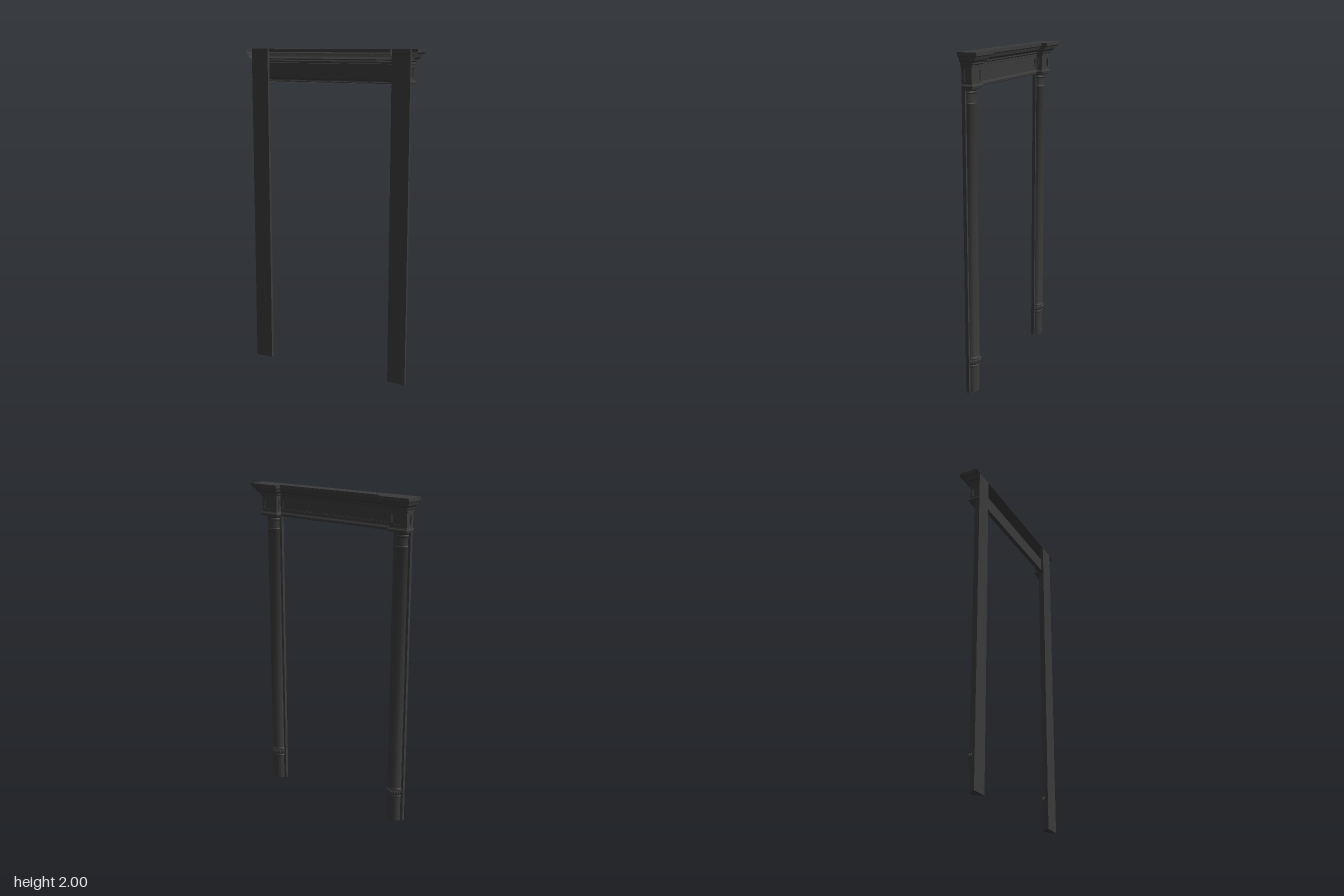
import * as THREE from 'three';
import { toCreasedNormals } from 'three/addons/utils/BufferGeometryUtils.js';

const material = new THREE.MeshStandardMaterial({ color: 0x3a3a3a, side: THREE.DoubleSide });
const FRONT = 0.058;      // flat wall side
const BLOCK = -0.005;     // frieze plane of the corner blocks
const BEAM = 0.033;       // frieze plane of the beam
const INNER = 0.42, OUTER = 0.536, MID = (INNER + OUTER) / 2;

function add(parent, name, geometry, x = 0, y = 0, z = 0) {
  const mesh = new THREE.Mesh(geometry, material);
  mesh.name = name;
  mesh.position.set(x, y, z);
  parent.add(mesh);
  return mesh;
}

// Plan of the entablature: x, z and the outward direction of each corner
const half = [
  [-OUTER, FRONT, -1, 0], [-OUTER, BLOCK, -1, -1],
  [-INNER, BLOCK, 1, -1], [-INNER, BEAM, 1, -1],
];
const plan = [...half, ...half.map(([x, z, dx, dz]) => [-x, z, -dx, dz]).reverse()];
const planAt = (o) => plan.map(([x, z, dx, dz]) => [x + o * dx, z + o * dz * 1.18]);

// Sweep a moulding profile of [projection, height] round the plan with mitred corners
function moulding(profile) {
  const rows = profile.map(([o, y]) => planAt(o).map(([x, z]) => [x, y, z]));
  const p = [];
  for (let j = 0; j < rows.length - 1; j++) {
    for (let i = 0; i < plan.length - 1; i++) {
      const a = rows[j][i], b = rows[j][i + 1], c = rows[j + 1][i], d = rows[j + 1][i + 1];
      p.push(...a, ...c, ...b, ...b, ...c, ...d);
    }
  }
  const g = new THREE.BufferGeometry();
  g.setAttribute('position', new THREE.Float32BufferAttribute(p, 3));
  g.computeVertexNormals();
  return g;
}

// Flat lid with the outline of the plan
function lid(o, up) {
  const s = new THREE.Shape(planAt(o).map(([x, z]) => new THREE.Vector2(x, up ? -z : z)));
  return new THREE.ShapeGeometry(s).rotateX(up ? -Math.PI / 2 : Math.PI / 2);
}

// Framed, recessed panel whose face points along local +z
function panel(parent, name, w, h, border, x, y, z, turn) {
  const g = new THREE.Group();
  g.name = name;
  g.position.set(x, y, z);
  g.rotation.y = turn;
  const rect = (T, a, b) => new T([[-a, -b], [a, -b], [a, b], [-a, b]].map(([u, v]) => new THREE.Vector2(u, v)));
  const ring = (a, b, t, depth) => {
    const s = rect(THREE.Shape, a, b);
    s.holes.push(rect(THREE.Path, a - t, b - t));
    return new THREE.ExtrudeGeometry(s, { depth, bevelEnabled: false });
  };
  const a = w / 2, b = h / 2;
  add(g, 'panelFrame', ring(a, b, border, 0.007), 0, 0, -0.007);
  add(g, 'panelBead', ring(a - border, b - border, 0.004, 0.004), 0, 0, -0.007);
  add(g, 'panelField', new THREE.PlaneGeometry(w - 2 * border, h - 2 * border), 0, 0, -0.007);
  parent.add(g);
}

export function createModel() {
  const model = new THREE.Group();
  model.name = 'doorSurround';

  // Entablature mouldings
  const entablature = new THREE.Group();
  entablature.name = 'entablature';
  model.add(entablature);
  add(entablature, 'cornice', moulding([
    [0, 1.915], [0.005, 1.917], [0.005, 1.928], [0.01, 1.934], [0.01, 1.942], [0.018, 1.947],
    [0.024, 1.955], [0.028, 1.967], [0.034, 1.967], [0.036, 1.974], [0.044, 1.98], [0.044, 2],
  ]));
  add(entablature, 'architrave', moulding([
    [0, 1.8], [0.002, 1.803], [0.002, 1.808], [0.007, 1.81], [0.008, 1.815], [0.006, 1.82], [0.002, 1.822], [0, 1.828],
  ]));
  add(entablature, 'topCover', lid(0.044, true), 0, 2, 0);
  add(entablature, 'soffit', lid(0, false), 0, 1.8, 0);

  // Frieze panels on the beam and the corner blocks
  const y = (1.828 + 1.915) / 2, h = 1.915 - 1.828;
  panel(entablature, 'beamPanel', 2 * INNER, h, 0.014, 0, y, BEAM, Math.PI);
  for (const s of [-1, 1]) {
    panel(entablature, 'blockPanel', OUTER - INNER, h, 0.014, s * MID, y, BLOCK, Math.PI);
    panel(entablature, 'blockSidePanel', FRONT - BLOCK, h, 0.012, s * OUTER, y, (FRONT + BLOCK) / 2, s * Math.PI / 2);
    panel(entablature, 'blockReturn', BEAM - BLOCK, h, 0.01, s * INNER, y, (BEAM + BLOCK) / 2, -s * Math.PI / 2);
  }

  // Engaged half column, slightly flattened in depth
  const columnProfile = [
    [0, 0], [0.041, 0], [0.041, 0.16], [0.045, 0.163], [0.047, 0.17], [0.044, 0.176],
    [0.046, 0.185], [0.047, 0.195], [0.046, 0.205], [0.045, 0.21], [0.048, 0.214], [0.046, 0.221], [0.043, 0.225],
    [0.043, 1.712], [0.045, 1.715], [0.045, 1.721], [0.042, 1.724], [0.042, 1.772],
    [0.046, 1.775], [0.048, 1.78], [0.046, 1.785], [0.045, 1.788], [0.052, 1.796], [0.053, 1.802],
  ].map(([r, v]) => new THREE.Vector2(r, v));
  const columnGeometry = toCreasedNormals(
    new THREE.LatheGeometry(columnProfile, 24, Math.PI / 2, Math.PI), 0.6);
  const beadGeometry = new THREE.SphereGeometry(1, 10, 8);

  for (const s of [-1, 1]) {
    const post = new THREE.Group();
    post.name = s > 0 ? 'leftPost' : 'rightPost';
    post.position.x = s * MID;
    model.add(post);
    add(post, 'pilaster', new THREE.BoxGeometry(OUTER - INNER, 2, 0.02), 0, 1, FRONT - 0.01);

    const column = new THREE.Group();
    column.name = 'halfColumn';
    column.position.z = 0.038;
    column.scale.z = 0.82;
    post.add(column);
    add(column, 'shaft', columnGeometry);

    // Carved beads round the lower collar
    for (let i = 0; i < 9; i++) {
      const a = Math.PI * (i + 0.5) / 9;
      const bead = add(column, 'collarBead', beadGeometry, Math.cos(a) * 0.047, 0.195, -Math.sin(a) * 0.047);
      bead.scale.set(0.007, 0.014, 0.007);
    }
  }
  return model;
}
